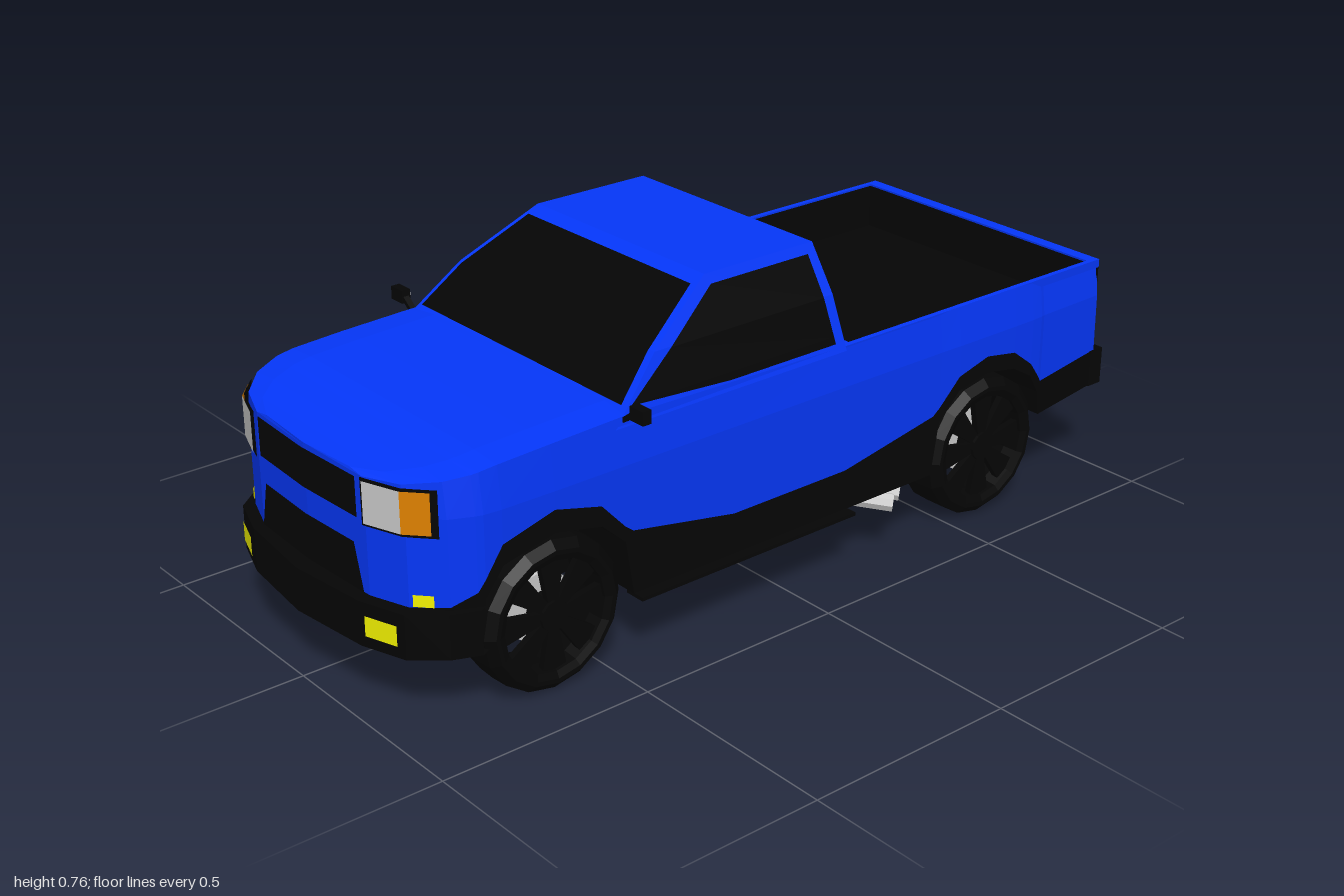
import * as THREE from 'three';

const BLUE = 0x0537fa, BLACK = 0x050505, YELLOW = 0xf5f500, ORANGE = 0xe08200, RED = 0xdd0000, GREY = 0xbdbdbd;
const mat = (color) => new THREE.MeshStandardMaterial({ color, flatShading: true, side: THREE.DoubleSide });

// Side stations, back to front: z, half width, lower edge, top of black cladding, top of body
const STATIONS = [
  [-0.97, .375, .222, .31, .54], [-0.78, .38, .2, .285, .54], [-0.77, .382, .26, .30, .54],
  [-0.74, .384, .31, .34, .54], [-0.68, .385, .345, .385, .54], [-0.59, .385, .36, .40, .54],
  [-0.50, .385, .34, .375, .54], [-0.44, .384, .28, .315, .54], [-0.42, .384, .155, .30, .54],
  [-0.15, .384, .155, .25, .54], [0.17, .384, .155, .25, .547], [0.44, .384, .155, .30, .553],
  [0.46, .384, .28, .315, .553], [0.52, .384, .335, .38, .551], [0.635, .384, .36, .41, .547],
  [0.76, .382, .33, .375, .541], [0.80, .378, .27, .31, .536], [0.815, .373, .155, .285, .533],
  [0.865, .35, .155, .26, .526], [0.92, .29, .155, .255, .516], [0.952, .2, .155, .255, .511],
  [0.962, 0, .155, .255, .51],
];
const NOSE = [[0, .962], [.2, .952], [.29, .92], [.35, .865], [.373, .815]];
const BUMPER = [[0, 1], [.2, .978], [.305, .942], [.36, .875], [.384, .815]];
// Cab levels: y, half width, front z, rear z
const CAB = [[.53, .376, .475, -.152], [.65, .337, .345, -.143], [.757, .283, .17, -.13]];

function interp(table, t, col = 1) {
  let i = 1;
  while (i < table.length - 1 && t > table[i][0]) i++;
  const a = table[i - 1], b = table[i];
  return a[col] + (b[col] - a[col]) * (t - a[0]) / (b[0] - a[0]);
}

export function createModel() {
  const model = new THREE.Group();

  const add = (name, geometry, color, parent = model) => {
    const mesh = new THREE.Mesh(geometry, mat(color));
    mesh.name = name;
    parent.add(mesh);
    return mesh;
  };
  const box = (name, color, w, h, d, x, y, z, parent) => {
    const mesh = add(name, new THREE.BoxGeometry(w, h, d), color, parent);
    mesh.position.set(x, y, z);
    return mesh;
  };
  // Quad surface through rows of points
  const surface = (name, color, rows) => {
    const n = rows[0].length, index = [];
    for (let r = 0; r < rows.length - 1; r++) for (let c = 0; c < n - 1; c++) {
      const a = r * n + c, b = a + n;
      index.push(a, a + 1, b, a + 1, b + 1, b);
    }
    let g = new THREE.BufferGeometry();
    g.setAttribute('position', new THREE.Float32BufferAttribute(rows.flat(2), 3));
    g.setIndex(index);
    g = g.toNonIndexed();
    g.computeVertexNormals();
    return add(name, g, color);
  };
  // Panel lying on the nose or bumper; x0..x1 at the bottom, t0..t1 at the top
  const nosePanel = (name, color, x0, x1, y0, y1, off, plan = NOSE, t0 = x0, t1 = x1) => {
    const row = (a, b, y) => Array.from({ length: 9 }, (_, i) => {
      const x = a + (b - a) * i / 8;
      return [x, y, interp(plan, Math.abs(x)) + off];
    });
    surface(name, color, [row(x0, x1, y0), row(t0, t1, y1)]);
  };

  // Body sides, cladding, wheel wells and floor; the floor climbs behind the rear wheels
  for (const s of [1, -1]) {
    const side = (x, y, z) => [s * x, y, z];
    surface('bodySide', BLUE, STATIONS.map(([z, x, , arch, top]) =>
      [side(x, arch, z), side(x, .45, z), side(x * .97, top, z)]));
    surface('lowerCladdingAndFloor', BLACK, STATIONS.map(([z, x, low, arch]) => {
      const inner = Math.min(.22, x), base = z < -.5 ? .2 + Math.max(0, -z - .78) * .115 : .155;
      return [side(0, base, z), side(inner, base, z), side(inner, low, z), side(x, low, z), side(x, arch, z)];
    }));
    box('runningBoard', BLACK, .05, .008, .6, s * .386, .152, .14);
  }
  surface('hood', BLUE, STATIONS.filter((p) => p[0] >= .44).map(([z, x, , , top]) =>
    [-1, -.8, 0, .8, 1].map((k) => [k * x * .97, top + (Math.abs(k) < 1 ? .006 : 0), z])));

  // Cab shell and roof
  surface('cab', BLUE, CAB.map(([y, x, f, r]) => [[x, y, f], [x, y, r], [-x, y, r], [-x, y, f], [x, y, f]]));
  const [ry, rx, rf, rr] = CAB[2];
  surface('roof', BLUE, [[[-rx, ry, rr], [-rx, ry, rf]], [[rx, ry, rr], [rx, ry, rf]]]);

  // Glass
  const cab = (y, col) => interp(CAB, y, col);
  const across = (ys, col, off, inset) => ys.map((y) => {
    const x = cab(y, 1) - inset, z = cab(y, col) + off;
    return [[-x, y, z], [x, y, z]];
  });
  surface('windshield', BLACK, across([.566, .65, .742], 2, .006, .014));
  surface('rearWindow', BLACK, across([.565, .65, .73], 3, -.004, .02));
  surface('brakeLight', RED, across([.738, .753], 3, -.005, .19));
  for (const s of [1, -1]) {
    surface('sideWindow', BLACK, [[.552, .17, -.122], [.567, .43, -.121], [.65, .305, -.114], [.738, .163, -.106]]
      .map(([y, f, r]) => [[s * (cab(y, 1) + .004), y, f], [s * (cab(y, 1) + .004), y, r]]));
  }

  // Cargo bed: rim, liner and tailgate
  const rect = (P, x, z0, z1) => {
    const p = new P();
    p.moveTo(-x, z0); p.lineTo(x, z0); p.lineTo(x, z1); p.lineTo(-x, z1); p.closePath();
    return p;
  };
  const rim = rect(THREE.Shape, .373, .15, .97);
  rim.holes.push(rect(THREE.Path, .36, .172, .94));
  add('bedRim', new THREE.ExtrudeGeometry(rim, { depth: .02, bevelEnabled: false }).rotateX(-Math.PI / 2), BLUE)
    .position.y = .52;
  const bed = [[-.359, -.173], [.359, -.173], [.359, -.939], [-.359, -.939], [-.359, -.173]];
  surface('bedLiner', BLACK, [.43, .536].map((y) => bed.map(([x, z]) => [x, y, z])));
  surface('bedFloor', BLACK, [-.939, -.173].map((z) => [[-.359, .43, z], [.359, .43, z]]));
  surface('tailgate', BLUE, [[.3, .377], [.45, .375], [.54, .364]].map(([y, x]) => [[-x, y, -.97], [x, y, -.97]]));
  box('rearBumper', BLACK, .756, .09, .042, 0, .265, -.979);
  box('plateLamp', GREY, .09, .004, .01, 0, .219, -.985);

  // Front bumper wrapping round the nose
  const plan = [...BUMPER.slice(1).reverse().map(([x, z]) => [-x, z]), ...BUMPER];
  surface('frontBumper', BLACK, [[.152, .92, -.06], [.152, 1, 0], [.252, 1, 0], [.257, .92, -.06]].map(([y, k, dz]) =>
    plan.map(([x, z]) => [x * k, y, z + dz])));

  // Grilles and lamps
  nosePanel('upperGrille', BLACK, -.18, .18, .42, .508, .006);
  nosePanel('lowerGrille', BLACK, -.19, .19, .26, .362, .006, NOSE, -.165, .165);
  for (const s of [1, -1]) {
    nosePanel('headlightFrame', BLACK, s * .197, s * .342, .41, .513, .006);
    nosePanel('headlight', GREY, s * .206, s * .29, .417, .508, .011);
    nosePanel('turnSignal', ORANGE, s * .29, s * .334, .417, .508, .011);
    nosePanel('markerLamp', YELLOW, s * .3, s * .331, .26, .286, .007);
    nosePanel('fogLamp', YELLOW, s * .216, s * .29, .18, .225, .005, BUMPER);
    box('tailLightFrame', BLACK, .068, .226, .006, s * .335, .42, -.971);
    box('tailLightRed', RED, .052, .085, .006, s * .337, .482, -.974);
    box('tailLightAmber', ORANGE, .052, .115, .006, s * .337, .38, -.974);

    // Door mirrors
    box('mirror', BLACK, .042, .03, .022, s * .421, .572, .45);
    box('mirrorGlass', GREY, .034, .022, .004, s * .421, .572, .438);
    box('mirrorArm', BLACK, .05, .01, .014, s * .388, .557, .45).rotation.z = s * .65;
  }

  // Twin exhaust
  for (const [dx, dz] of [[0, 0], [-.03, -.05]]) {
    const path = new THREE.LineCurve3(new THREE.Vector3(.28 + dx, .145, -.19 + dz), new THREE.Vector3(.392 + dx, .128, -.295 + dz));
    add('exhaustPipe', new THREE.TubeGeometry(path, 1, .021, 8), GREY);
  }

  // Wheels: tyre, spokes, hub and brake disc
  const tyre = [[.125, -.055], [.14, -.062], [.15, -.062], [.168, -.045], [.17, 0], [.168, .045], [.15, .062],
    [.14, .062], [.125, .055], [.12, .02], [.125, -.055]].map(([r, y]) => new THREE.Vector2(r, y));
  const spokeShape = new THREE.Shape([[.03, -.012], [.125, -.03], [.125, .03], [.03, .012]]
    .map(([x, y]) => new THREE.Vector2(x, y)));
  const spokeGeometry = new THREE.ExtrudeGeometry(spokeShape, { depth: .016, bevelEnabled: false }).rotateX(-Math.PI / 2);
  for (const z of [.635, -.6]) for (const s of [1, -1]) {
    const wheel = new THREE.Group();
    wheel.name = z > 0 ? 'frontWheel' : 'rearWheel';
    wheel.position.set(s * .322, .17, z);
    wheel.rotation.z = -s * Math.PI / 2;
    model.add(wheel);
    add('tyre', new THREE.LatheGeometry(tyre, 16), BLACK, wheel);
    add('hub', new THREE.CylinderGeometry(.034, .036, .05, 12), BLACK, wheel).position.y = .03;
    add('brakeDisc', new THREE.CylinderGeometry(.078, .078, .03, 16), GREY, wheel).position.y = -.01;
    for (let i = 0; i < 8; i++) {
      const spoke = add('spoke', spokeGeometry, BLACK, wheel);
      spoke.position.y = .032;
      spoke.rotation.y = i * Math.PI / 4;
    }
  }
  return model;
}
